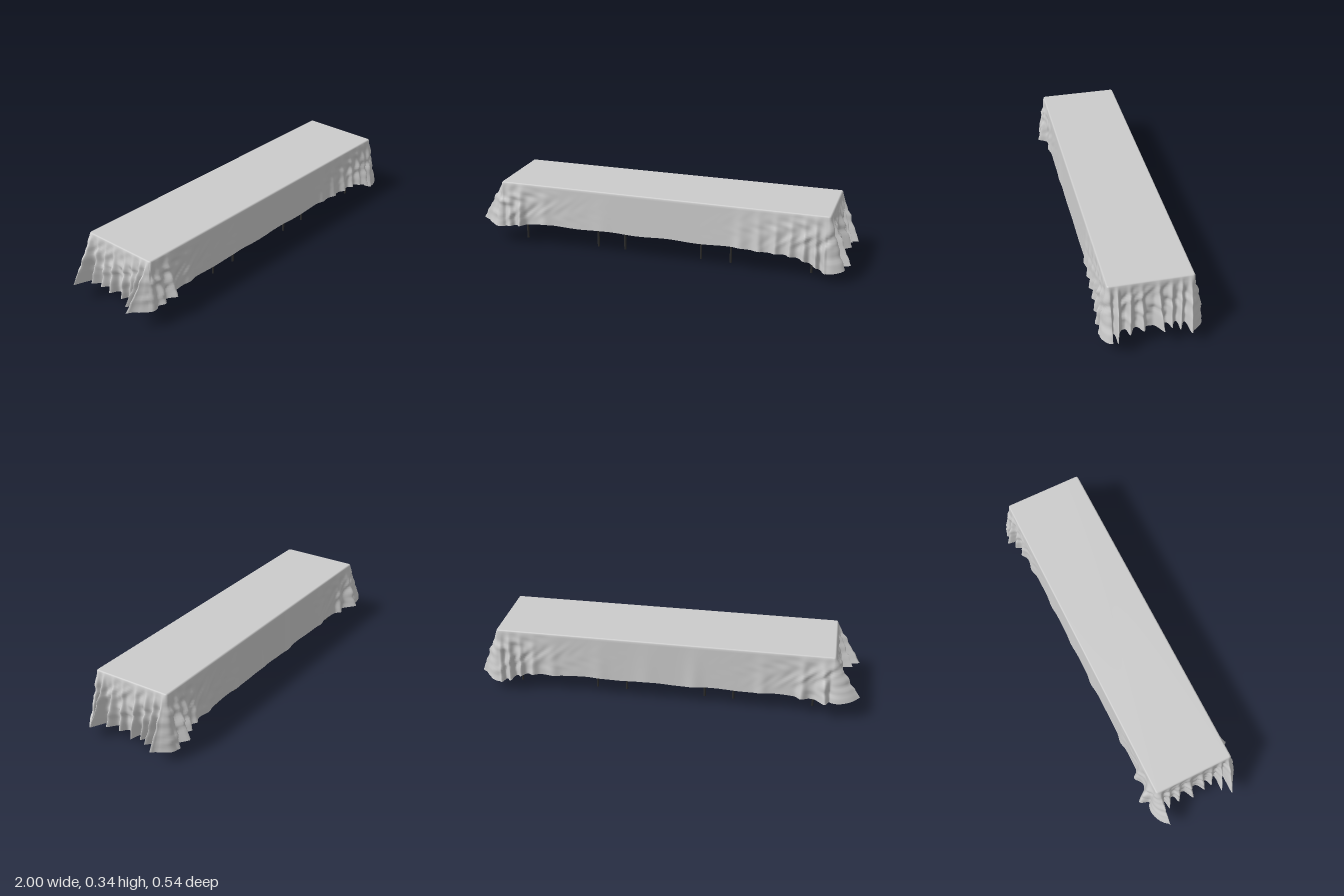
import * as THREE from 'three';

// Cloth top rectangle and height
const X0 = -0.865, X1 = 0.897, Z0 = -0.203, Z1 = 0.214, TOP = 0.343, R = 0.012;
const W = X1 - X0, D = Z1 - Z0, LOOP = 2 * (W + D);

// Folds of each side: [position along the side, outward reach at the hem, width]
const frontFolds = [[-0.82, 0.035, 0.02], [-0.755, 0.05, 0.022], [-0.62, 0.012, 0.03], [-0.3, 0.004, 0.05], [0.45, 0.012, 0.03],
  [0.54, 0.018, 0.022], [0.63, 0.024, 0.02], [0.71, 0.026, 0.016], [0.775, 0.03, 0.015], [0.83, 0.038, 0.014], [0.875, 0.03, 0.01]];
const rightFolds = [[0.2, 0.06, 0.009], [0.165, 0.1, 0.01], [0.105, 0.06, 0.012], [0.05, 0.045, 0.012], [-0.03, 0.075, 0.014],
  [-0.09, 0.055, 0.012], [-0.138, 0.07, 0.01], [-0.183, 0.09, 0.011]];
const backFolds = [[0.875, 0.04, 0.012], [0.83, 0.06, 0.016], [0.77, 0.035, 0.015], [0.7, 0.022, 0.02], [0.6, 0.012, 0.03], [0.35, 0.006, 0.04],
  [0.1, 0.005, 0.05], [-0.15, 0.008, 0.04], [-0.5, 0.01, 0.03], [-0.71, 0.03, 0.022], [-0.81, 0.062, 0.026]];
const leftFolds = [[-0.185, 0.128, 0.013], [-0.135, 0.05, 0.012], [-0.08, 0.04, 0.012], [-0.02, 0.055, 0.013], [0.05, 0.045, 0.013],
  [0.105, 0.04, 0.012], [0.155, 0.09, 0.01], [0.195, 0.12, 0.01]];

// All folds by distance round the perimeter, plus a soft one at each corner
const folds = [
  ...frontFolds.map(([p, a, w]) => [p - X0, a, w]),
  ...rightFolds.map(([p, a, w]) => [W + Z1 - p, a, w]),
  ...backFolds.map(([p, a, w]) => [W + D + X1 - p, a, w]),
  ...leftFolds.map(([p, a, w]) => [2 * W + D + p - Z0, a, w]),
  ...[0, W, W + D, 2 * W + D].map(s => [s, 0.035, 0.014]),
];

function reachAt(s) {
  let d = 0.004;
  for (const [p, a, w] of folds) {
    let e = Math.abs(s - p);
    e = Math.min(e, LOOP - e) / w;
    if (e < 4) d += a * Math.exp(-e * e);
  }
  return Math.min(d, 0.133);
}

// Hem height: higher along the sides, drooping at the corners
function hemAt(x, z, nx, nz) {
  const right = x > 0;
  const corner = right ? 0.053 : 0.088;
  const long = THREE.MathUtils.lerp(nz > 0 ? 0.125 : 0.107, corner, Math.pow(Math.min(1, Math.abs(x) / 0.87), 9));
  const end = THREE.MathUtils.lerp(right ? 0.08 : 0.095, corner, Math.pow(Math.min(1, Math.abs(z) / 0.21), 4));
  const k = nx * nx;
  return long * (1 - k) + end * k + 0.003 * Math.sin(x * 19 + z * 31);
}

// Rounded rectangle walked front, right, back, left
function perimeter() {
  const pts = [];
  const sides = [
    [X0, Z1, 1, 0, W, 300], [X1, Z1, 0, -1, D, 130], [X1, Z0, -1, 0, W, 300], [X0, Z0, 0, 1, D, 130],
  ];
  let start = 0;
  for (const [x, z, tx, tz, len, n] of sides) {
    const nx = -tz, nz = tx;
    for (let i = 0; i <= n; i++) {
      const u = R + (len - 2 * R) * i / n;
      pts.push({ x: x + tx * u, z: z + tz * u, nx, nz, s: start + u });
    }
    // quarter turn into the next side
    const cx = x + tx * (len - R) - nx * R, cz = z + tz * (len - R) - nz * R;
    for (let i = 1; i < 10; i++) {
      const a = i / 10 * Math.PI / 2;
      const mx = nx * Math.cos(a) + tx * Math.sin(a), mz = nz * Math.cos(a) + tz * Math.sin(a);
      pts.push({ x: cx + mx * R, z: cz + mz * R, nx: mx, nz: mz, s: (start + len - R + 2 * R * i / 10) % LOOP });
    }
    start += len;
  }
  return pts;
}

function clothGeometry() {
  const loop = perimeter(), n = loop.length, rows = 22;
  const pos = [(X0 + X1) / 2, TOP, (Z0 + Z1) / 2], index = [];
  // rounded edge of the top
  for (const [inset, y] of [[0.008, TOP], [0.003, TOP - 0.0015], [0, TOP - 0.007]])
    for (const p of loop) pos.push(p.x - p.nx * inset, y, p.z - p.nz * inset);
  // hanging skirt
  const spread = loop.map(p => reachAt(p.s));
  for (let r = 1; r <= rows; r++) {
    const t = r / rows;
    loop.forEach((p, i) => {
      const busy = Math.min(1, Math.pow(Math.abs(p.x) / 0.8, 4));
      const wrinkle = 0.006 * busy * Math.sin(Math.PI * t) *
        (Math.sin(p.s * 75 + 5 * Math.sin(t * 7 + p.s * 9)) + Math.sin(t * 17 + p.s * 38));
      const d = spread[i] * Math.pow(t, 1.05) + wrinkle * 0.6 + 0.003 * t;
      const lean = 0.22 * d * t * Math.sin(p.s * 23);
      const hem = hemAt(p.x, p.z, p.nx, p.nz) + spread[i] * 0.17;
      pos.push(p.x + p.nx * d + p.nz * lean, TOP - 0.007 + (hem - TOP + 0.007) * t, p.z + p.nz * d - p.nx * lean);
    });
  }
  for (let i = 0; i < n; i++) index.push(0, 1 + i, 1 + (i + 1) % n);
  for (let r = 0; r < rows + 2; r++)
    for (let i = 0; i < n; i++) {
      const a = 1 + r * n + i, b = 1 + r * n + (i + 1) % n;
      index.push(a, a + n, b + n, a, b + n, b);
    }
  const geo = new THREE.BufferGeometry();
  geo.setAttribute('position', new THREE.Float32BufferAttribute(pos, 3));
  geo.setIndex(index);
  geo.computeVertexNormals();
  return geo;
}

export function createModel() {
  const model = new THREE.Group();
  const grey = new THREE.MeshStandardMaterial({ color: 0xcccccc, side: THREE.DoubleSide });
  const wood = new THREE.MeshStandardMaterial({ color: 0x7a5530 });
  const metal = new THREE.MeshStandardMaterial({ color: 0x2b2b2b });

  const add = (parent, name, geo, mat, x, y, z) => {
    const mesh = new THREE.Mesh(geo, mat);
    mesh.name = name;
    mesh.position.set(x, y, z);
    parent.add(mesh);
    return mesh;
  };

  add(model, 'tablecloth', clothGeometry(), grey, 0, 0, 0);

  // Three tables in a row under the cloth
  const legZ = [0.127, -0.113], midZ = 0.007;
  [[-0.765, -0.35], [-0.198, 0.222], [0.382, 0.802]].forEach(([a, b], i) => {
    const table = new THREE.Group();
    table.name = 'table' + (i + 1);
    const mid = (a + b) / 2;
    add(table, 'tabletop', new THREE.BoxGeometry(0.578, 0.013, 0.39), wood, mid, 0.3305, midZ);
    add(table, 'longRail', new THREE.BoxGeometry(b - a, 0.01, 0.012), metal, mid, 0.317, midZ);
    for (const x of [a, b]) {
      add(table, 'crossRail', new THREE.BoxGeometry(0.012, 0.012, 0.24), metal, x, 0.316, midZ);
      for (const z of legZ) add(table, 'leg', new THREE.CylinderGeometry(0.006, 0.006, 0.324, 12), metal, x, 0.162, z);
    }
    model.add(table);
  });
  return model;
}
